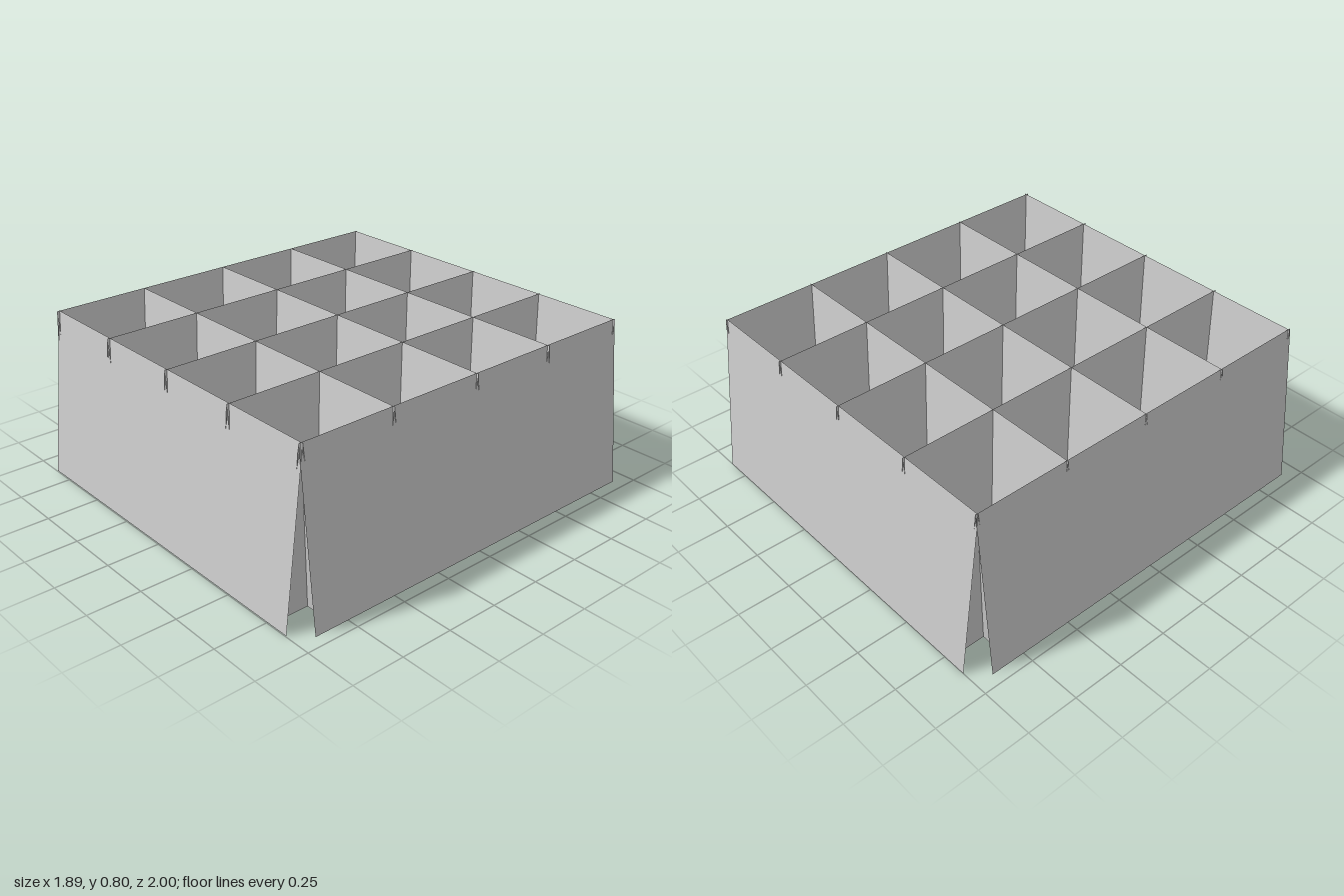
import * as THREE from 'three';

const HEIGHT = 0.795;

// Ridge positions of the walls running along z and along x
const RIDGES_X = [-0.86, -0.43, 0.006, 0.427, 0.857];
const RIDGES_Z = [-0.907, -0.455, -0.015, 0.449, 0.903];

const material = new THREE.MeshStandardMaterial({
  color: 0xcccccc, flatShading: true, side: THREE.DoubleSide,
});

// Folded sheet: an open inverted V with its ridge along z
function foldedSheet(spread, length) {
  const sheet = new THREE.PlaneGeometry(2 * spread, length, 2, 1).rotateX(-Math.PI / 2);
  const p = sheet.attributes.position;
  for (let i = 0; i < p.count; i++) {
    p.setY(i, HEIGHT * (1 - Math.abs(p.getX(i)) / spread));
  }
  const flat = sheet.toNonIndexed();
  flat.computeVertexNormals();
  return flat;
}

export function createModel() {
  const model = new THREE.Group();
  model.name = 'foldedGrid';

  // Walls running front to back
  const lengthwise = foldedSheet(0.087, 1.832);
  RIDGES_X.forEach((x, i) => {
    const wall = new THREE.Mesh(lengthwise, material);
    wall.name = `lengthwiseWall${i + 1}`;
    wall.position.x = x;
    model.add(wall);
  });

  // Walls running side to side, passing through the lengthwise ones
  const crosswise = foldedSheet(0.093, 1.732).rotateY(Math.PI / 2);
  RIDGES_Z.forEach((z, i) => {
    const wall = new THREE.Mesh(crosswise, material);
    wall.name = `crosswiseWall${i + 1}`;
    wall.position.z = z;
    model.add(wall);
  });

  return model;
}
